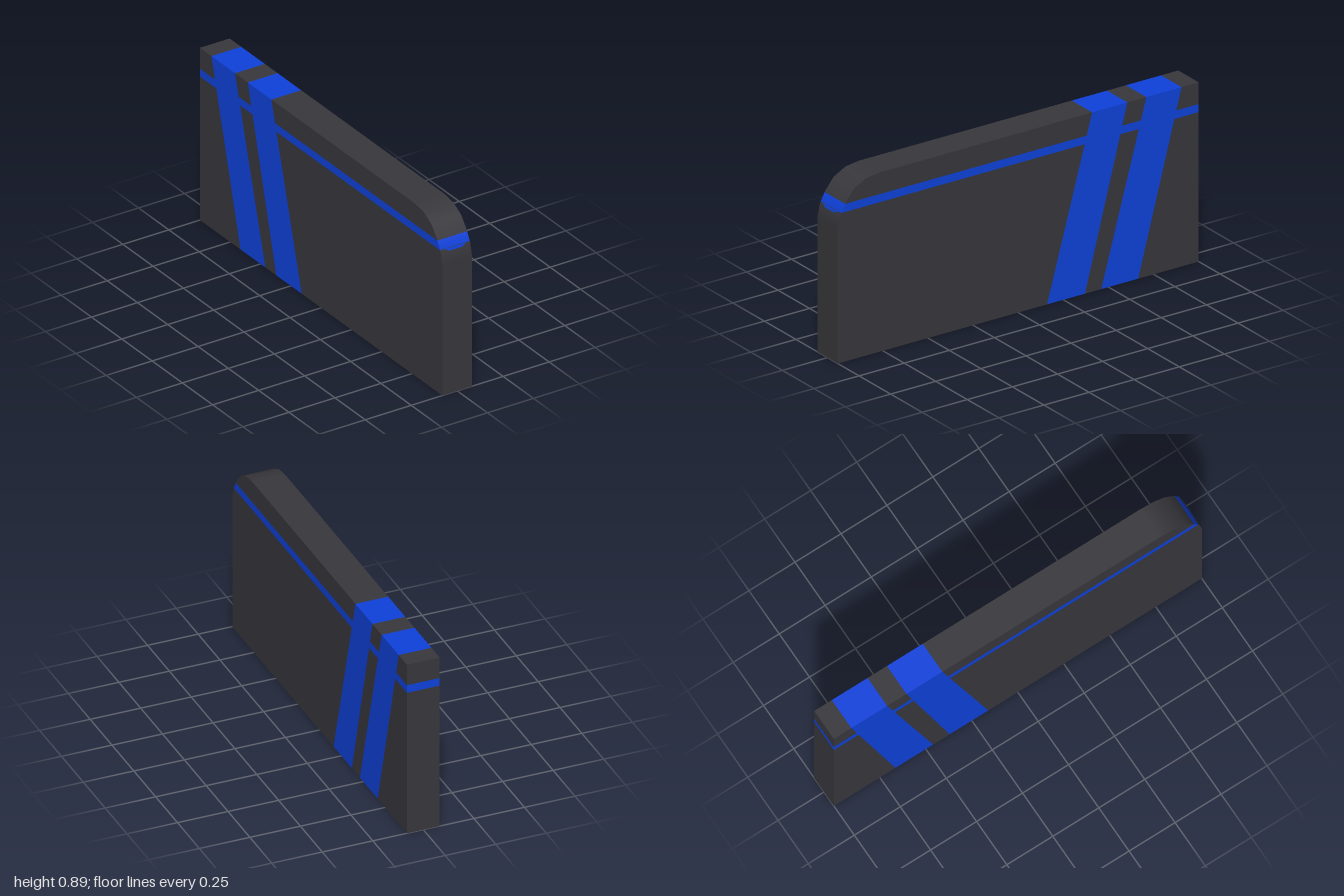
import * as THREE from 'three';

const HALF = 0.081, TOP = 0.89, BAND_LOW = 0.742, BAND_HIGH = 0.782;

// side outline as [z, y]: rounded upper front corner, open underneath
const ARC = [[1, 0.67], [0.985, 0.735], [0.955, 0.79], [0.91, 0.845], [0.845, 0.88], [0.77, TOP]];
const OUTLINE = [[1, 0], [-1, 0], [-1, TOP], ...ARC.slice().reverse()];

// slanted stripe edges as [z at the bottom, z at the top]
const EDGES = [[-0.16, -0.41], [-0.37, -0.605], [-0.46, -0.71], [-0.665, -0.905]];

// keep the part of a convex polygon where f >= 0
function clip(poly, f) {
  const out = [];
  poly.forEach((p, i) => {
    const q = poly[(i + 1) % poly.length], a = f(p), b = f(q);
    if (a >= 0) out.push(p);
    if (a * b < 0) {
      const t = a / (a - b);
      out.push([p[0] + (q[0] - p[0]) * t, p[1] + (q[1] - p[1]) * t]);
    }
  });
  return out;
}

// collects convex faces with normals into one mesh
class Faces {
  pos = [];
  nor = [];
  add(points, normals) {
    for (let i = 1; i < points.length - 1; i++) {
      for (const k of [0, i, i + 1]) {
        this.pos.push(...points[k]);
        this.nor.push(...(normals[k] ?? normals[0]));
      }
    }
  }
  mesh(name, material) {
    const g = new THREE.BufferGeometry();
    g.setAttribute('position', new THREE.Float32BufferAttribute(this.pos, 3));
    g.setAttribute('normal', new THREE.Float32BufferAttribute(this.nor, 3));
    const m = new THREE.Mesh(g, material);
    m.name = name;
    return m;
  }
}

// smooth normal around the rounded corner, flat beyond it
function rimNormal([z, y]) {
  const v = new THREE.Vector3(0, Math.max(y - 0.67, 0), Math.max(z - 0.77, 0)).normalize();
  return v.toArray();
}

export function createModel() {
  const charcoal = new THREE.MeshStandardMaterial({ color: 0x38373c, side: THREE.DoubleSide });
  charcoal.name = 'charcoal';
  const blue = new THREE.MeshStandardMaterial({ color: 0x0e41db, side: THREE.DoubleSide });
  blue.name = 'blue';

  const group = new THREE.Group();
  group.name = 'panel';

  // side faces, cut into slanted columns and a horizontal band
  for (const s of [1, -1]) {
    const plain = new Faces(), stripes = new Faces(), band = new Faces();
    const put = (faces, poly) => {
      if (poly.length < 3) return;
      const pts = poly.map(([z, y]) => [s * HALF, y, z]);
      faces.add(s > 0 ? pts : pts.reverse(), [[s, 0, 0]]);
    };
    const behind = ([b, t]) => ([z, y]) => b + (t - b) * y / TOP - z;
    for (let i = 0; i <= EDGES.length; i++) {
      let column = OUTLINE;
      if (i > 0) column = clip(column, behind(EDGES[i - 1]));
      if (i < EDGES.length) column = clip(column, p => -behind(EDGES[i])(p));
      if (i % 2) {
        put(stripes, column);
      } else {
        put(plain, clip(column, p => BAND_LOW - p[1]));
        put(band, clip(clip(column, p => p[1] - BAND_LOW), p => BAND_HIGH - p[1]));
        put(plain, clip(column, p => p[1] - BAND_HIGH));
      }
    }
    const side = s > 0 ? 'left' : 'right';
    group.add(plain.mesh(side + 'Side', charcoal), stripes.mesh(side + 'SlantedStripes', blue),
      band.mesh(side + 'Band', blue));
  }

  // rim strips across the thickness; the third value marks a blue strip ending there
  const rim = new Faces(), rimStripes = new Faces();
  const strip = (path, normalOf) => {
    for (let i = 1; i < path.length; i++) {
      const p = path[i - 1], q = path[i], a = normalOf(p), b = normalOf(q);
      (q[2] ? rimStripes : rim).add(
        [[HALF, p[1], p[0]], [HALF, q[1], q[0]], [-HALF, q[1], q[0]], [-HALF, p[1], p[0]]],
        [a, b, b, a]);
    }
  };
  const topEdges = EDGES.map(([, t], i) => [t, TOP, i % 2 === 1]);
  strip([[1, 0], ARC[0], ARC[1], [0.981, BAND_LOW], [0.959, BAND_HIGH, true],
    ...ARC.slice(2), ...topEdges, [-1, TOP]], rimNormal);
  strip([[-1, TOP], [-1, BAND_HIGH], [-1, BAND_LOW, true], [-1, 0]], () => [0, 0, -1]);

  // shallow dip of the band at the front
  const dip = new Faces();
  dip.add([[-0.06, BAND_LOW, 0.984], [-0.035, 0.73, 0.989], [0.035, 0.73, 0.989], [0.06, BAND_LOW, 0.984]],
    [rimNormal([0.983, 0.738])]);

  group.add(rim.mesh('rim', charcoal), rimStripes.mesh('rimStripes', blue), dip.mesh('frontBandDip', blue));
  return group;
}
